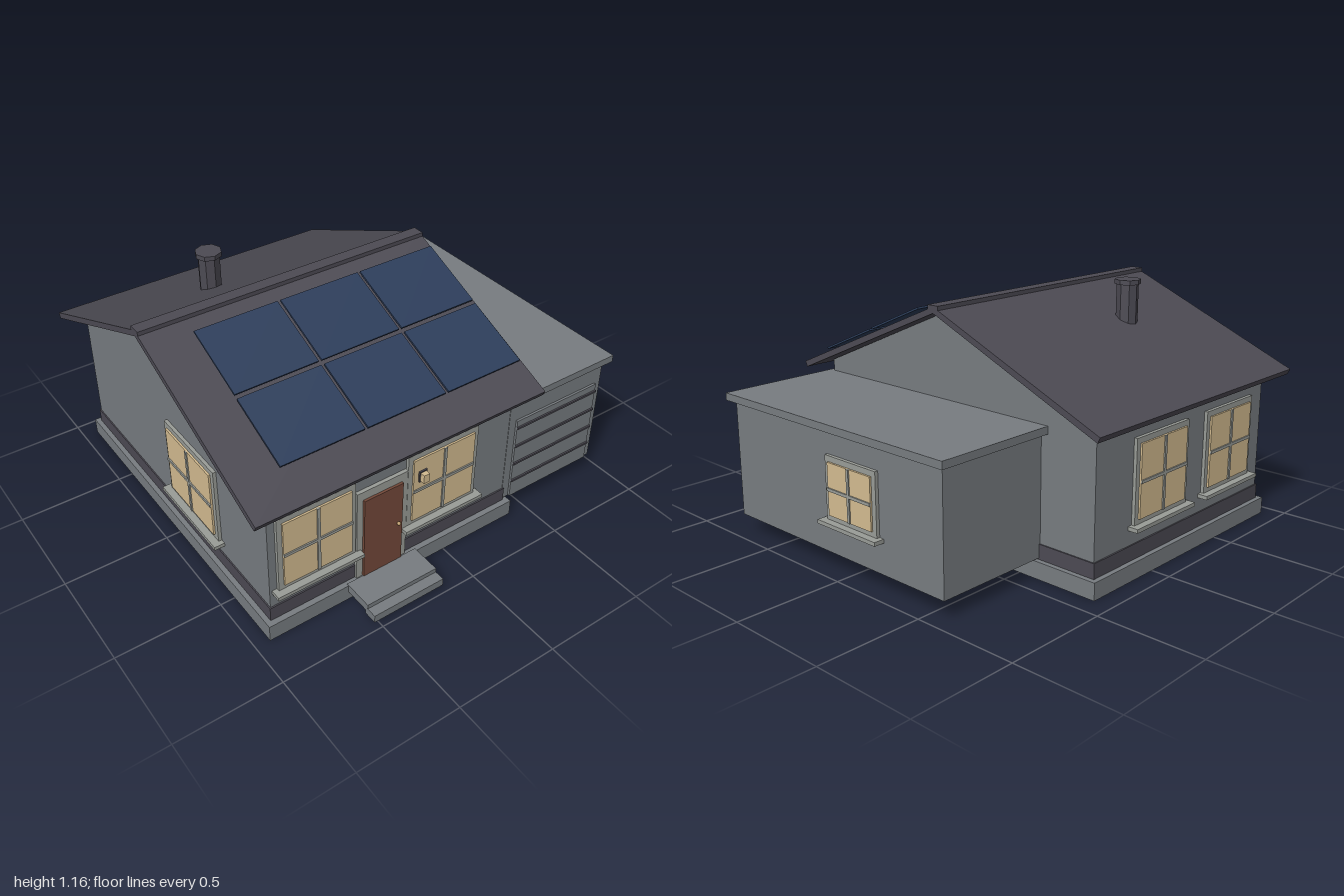
import * as THREE from 'three';

const mat = (name, color) => {
  const m = new THREE.MeshStandardMaterial({ color });
  m.name = name;
  return m;
};

export function createModel() {
  const wallGrey = mat('wall grey', 0x777c80);
  const roofDark = mat('roof charcoal', 0x4c4a53);
  const trim = mat('trim pale grey', 0x999c97);
  const glow = mat('window glow', 0xd3bb90);
  const navy = mat('solar navy', 0x2c3d5a);
  const wood = mat('door brown', 0x73493a);
  const brass = mat('brass', 0xb09060);

  const house = new THREE.Group();
  house.name = 'house';

  const add = (name, geo, material, parent = house) => {
    const mesh = new THREE.Mesh(geo, material);
    mesh.name = name;
    parent.add(mesh);
    return mesh;
  };
  // box given by its min and max on each axis
  const box = (name, x0, x1, y0, y1, z0, z1, material, parent = house) => {
    const mesh = add(name, new THREE.BoxGeometry(x1 - x0, y1 - y0, z1 - z0), material, parent);
    mesh.position.set((x0 + x1) / 2, (y0 + y1) / 2, (z0 + z1) / 2);
    return mesh;
  };
  // profile across the house, symmetric about the ridge, extruded along x
  const ridgeZ = -0.06;
  const alongX = (name, points, x0, x1, material) => {
    const shape = new THREE.Shape(points.map(p => new THREE.Vector2(...p)));
    const geo = new THREE.ExtrudeGeometry(shape, { depth: x1 - x0, bevelEnabled: false });
    geo.rotateY(Math.PI / 2).translate(x0, 0, ridgeZ);
    return add(name, geo, material);
  };

  // base and walls
  box('foundation', -0.93, 0.405, 0, 0.08, -0.91, 0.79, wallGrey);
  box('walls', -0.9, 0.375, 0.08, 0.735, -0.88, 0.755, wallGrey);
  box('plinth', -0.906, 0.381, 0.08, 0.15, -0.887, 0.762, roofDark);
  alongX('gable', [[-0.8175, 0.735], [0.8175, 0.735], [0, 1.087]], -0.9, 0.375, wallGrey);

  // pitched roof with square-cut eaves
  const pitch = Math.atan(0.43);
  alongX('roof', [
    [-0.912, 0.728], [-0.9, 0.702], [0, 1.087], [0.9, 0.702], [0.912, 0.728], [0, 1.116],
  ], -1, 0.475, roofDark);
  box('ridgeCap', -1, 0.475, 1.095, 1.122, ridgeZ - 0.031, ridgeZ + 0.031, roofDark);

  // solar panels, parallel to the front slope
  for (const x of [-0.5875, -0.1675, 0.2525]) {
    for (const [y, z] of [[0.881, 0.542], [1.025, 0.212]]) {
      const panel = add('solarPanel', new THREE.BoxGeometry(0.405, 0.009, 0.34), navy);
      panel.position.set(x, y, z);
      panel.rotation.x = pitch;
    }
  }

  // chimney
  const flue = add('chimney', new THREE.CylinderGeometry(0.052, 0.052, 0.24, 8).toNonIndexed(), roofDark);
  flue.position.set(-0.465, 1.02, -0.393);
  flue.geometry.computeVertexNormals();
  const cap = add('chimneyCap', new THREE.CylinderGeometry(0.062, 0.062, 0.022, 8).toNonIndexed(), roofDark);
  cap.position.set(-0.465, 1.15, -0.393);
  cap.geometry.computeVertexNormals();

  // garage
  box('garage', 0.375, 0.945, 0.087, 0.645, -0.592, 0.757, wallGrey);
  box('garageRoof', 0.345, 0.98, 0.645, 0.68, -0.627, 0.784, wallGrey);
  box('garageDoor', 0.415, 0.91, 0.09, 0.535, 0.75, 0.768, wallGrey);
  for (const y of [0.497, 0.392, 0.288, 0.186]) {
    box('garageDoorRib', 0.415, 0.91, y - 0.005, y + 0.005, 0.765, 0.776, roofDark);
  }

  // window: built facing +z on the wall plane, then turned
  const addWindow = (name, x, y, z, w, h, turn) => {
    const g = new THREE.Group();
    g.name = name;
    const gw = w / 2 - 0.024, gh = h / 2 - 0.026;
    box('windowFrame', -w / 2, w / 2, -h / 2, h / 2, -0.005, 0.016, trim, g);
    box('windowGlass', -gw, gw, -gh, gh, 0.016, 0.025, glow, g);
    box('muntinUpright', -0.007, 0.007, -gh, gh, 0.02, 0.031, trim, g);
    box('muntinCross', -gw, gw, -0.007, 0.007, 0.02, 0.031, trim, g);
    box('windowSill', -w / 2 - 0.024, w / 2 + 0.024, -h / 2 - 0.016, -h / 2 + 0.002, -0.005, 0.05, trim, g);
    g.position.set(x, y, z);
    g.rotation.y = turn;
    house.add(g);
  };
  addWindow('frontWindowRight', -0.672, 0.432, 0.755, 0.384, 0.388, 0);
  addWindow('frontWindowLeft', -0.017, 0.432, 0.755, 0.384, 0.388, 0);
  addWindow('backWindowLeft', -0.07, 0.432, -0.88, 0.384, 0.388, Math.PI);
  addWindow('backWindowRight', -0.6, 0.432, -0.88, 0.384, 0.388, Math.PI);
  addWindow('sideWindow', -0.9, 0.415, 0.15, 0.43, 0.388, -Math.PI / 2);
  addWindow('garageWindow', 0.945, 0.391, -0.06, 0.32, 0.29, Math.PI / 2);

  // front door
  box('doorFrame', -0.475, -0.212, 0.08, 0.56, 0.75, 0.773, trim);
  box('door', -0.445, -0.243, 0.085, 0.517, 0.765, 0.785, wood);
  const knob = add('doorKnob', new THREE.SphereGeometry(0.009, 12, 8), brass);
  knob.position.set(-0.267, 0.305, 0.793);

  // porch lamp
  box('lampBracket', -0.16, -0.118, 0.478, 0.534, 0.755, 0.787, roofDark);
  box('lampGlass', -0.154, -0.124, 0.484, 0.528, 0.785, 0.81, glow);

  // steps
  box('upperStep', -0.53, -0.16, 0.045, 0.085, 0.78, 0.93, wallGrey);
  box('lowerStep', -0.53, -0.16, 0.025, 0.063, 0.913, 0.98, wallGrey);

  return house;
}
